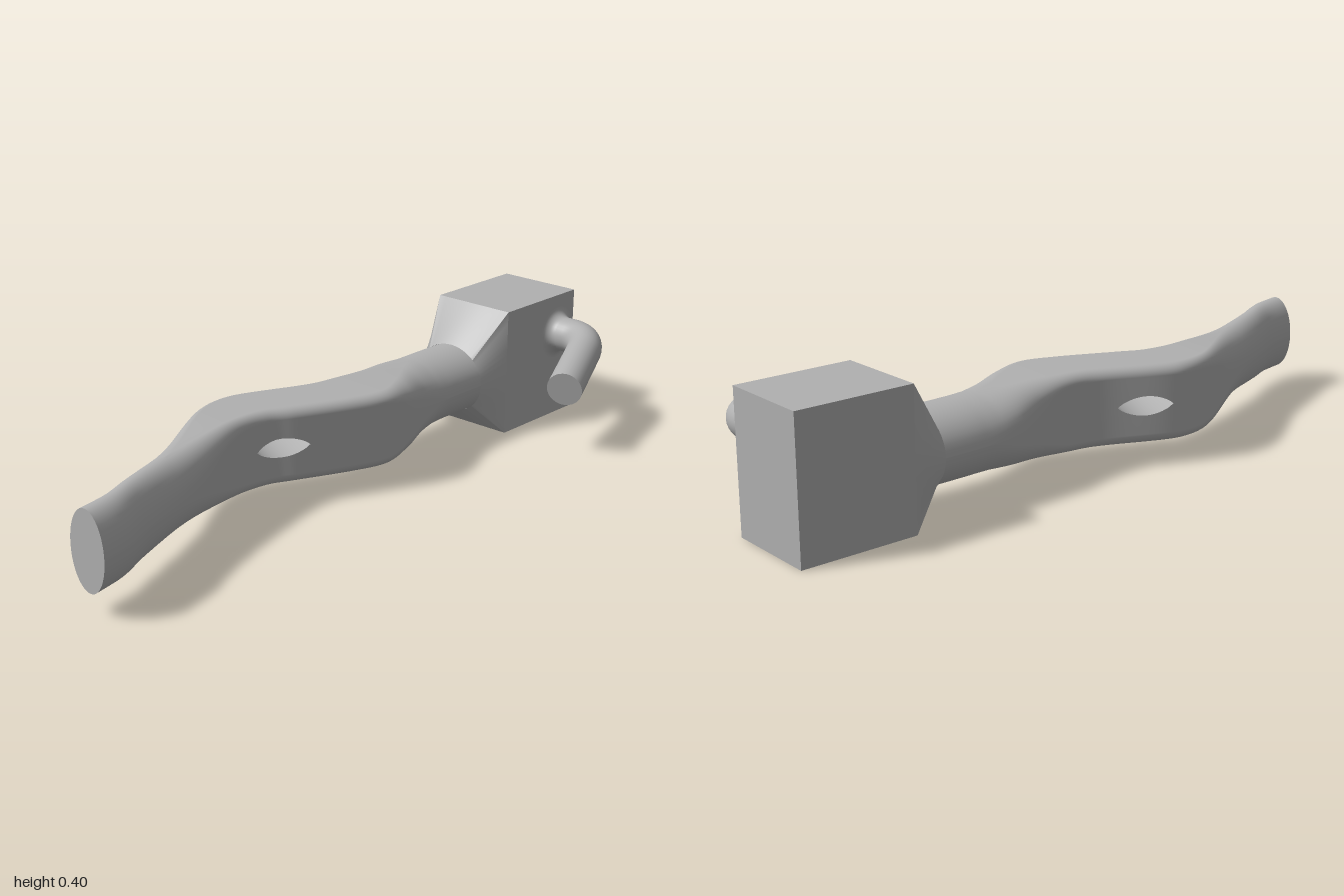
import * as THREE from 'three';
import { mergeVertices } from 'three/addons/utils/BufferGeometryUtils.js';

const grey = new THREE.MeshStandardMaterial({ color: 0xb0b0b0 });
grey.name = 'plain grey';
const greyInside = new THREE.MeshStandardMaterial({ color: 0xb0b0b0, side: THREE.DoubleSide });
greyInside.name = 'plain grey inside';

// Bar stations: x, back z, front z, bottom y, top y, corner roundness (1 = oval)
const stations = [
  [-1, -0.025, 0.105, 0.066, 0.292, 1],
  [-0.9, -0.047, 0.082, 0.067, 0.291, 1],
  [-0.8, -0.09, 0.038, 0.07, 0.288, 1],
  [-0.6, -0.175, -0.03, 0.077, 0.281, 0.85],
  [-0.4, -0.272, -0.1, 0.068, 0.289, 0.4],
  [-0.32, -0.299, -0.115, 0.066, 0.29, 0.28],
  [-0.24, -0.306, -0.104, 0.066, 0.29, 0.26],
  [-0.18, -0.29, -0.075, 0.066, 0.29, 0.26],
  [0, -0.212, 0.006, 0.066, 0.29, 0.26],
  [0.1, -0.197, 0.035, 0.066, 0.29, 0.28],
  [0.2, -0.21, 0.025, 0.069, 0.288, 0.5],
  [0.3, -0.24, 0.0, 0.072, 0.285, 0.75],
  [0.42, -0.252, -0.01, 0.073, 0.284, 1],
  [0.57, -0.255, -0.01, 0.073, 0.283, 1],
];

// Smooth interpolation through the stations
function sample(x, k) {
  const n = stations.length;
  let i = 0;
  while (i < n - 2 && x > stations[i + 1][0]) i++;
  const slope = (j) => {
    const a = stations[Math.max(j - 1, 0)], b = stations[Math.min(j + 1, n - 1)];
    return (b[k] - a[k]) / (b[0] - a[0]);
  };
  const p = stations[i], q = stations[i + 1], w = q[0] - p[0], t = (x - p[0]) / w;
  const t2 = t * t, t3 = t2 * t;
  return (2 * t3 - 3 * t2 + 1) * p[k] + (t3 - 2 * t2 + t) * w * slope(i)
    + (3 * t2 - 2 * t3) * q[k] + (t3 - t2) * w * slope(i + 1);
}

const HOLE_FRONT = -0.29, HOLE_BACK = -0.2, HOLE_LENGTH = 0.15, HOLE_Y = 0.178;
const ARC = 10;

// Half height of the through slot at x
function slot(x, start) {
  const t = (x - start) / HOLE_LENGTH;
  return t <= 0.001 || t >= 0.999 ? 0 : 0.028 * Math.pow(Math.sin(Math.PI * t), 0.75);
}

// Rounded section, from the slot's upper front edge over the top and round to its lower front edge
function section(x) {
  const [z0, z1, y0, y1, k] = [1, 2, 3, 4, 5].map((c) => sample(x, c));
  const cz = (z0 + z1) / 2, cy = (y0 + y1) / 2, hz = (z1 - z0) / 2, hy = (y1 - y0) / 2;
  const r = Math.min(k, 0.995), ry = hy * r, rz = hz * Math.min(1, r * 1.1);
  const pts = [];
  const corner = (sz, sy, a0) => {
    for (let i = 0; i <= ARC; i++) {
      const a = a0 + (i / ARC) * Math.PI / 2;
      pts.push([x, cy + sy * (hy - ry) + ry * Math.sin(a), cz + sz * (hz - rz) + rz * Math.cos(a)]);
    }
  };
  const f = slot(x, HOLE_FRONT), b = slot(x, HOLE_BACK);
  pts.push([x, HOLE_Y + f, z1]);
  corner(1, 1, 0);
  corner(-1, 1, Math.PI / 2);
  pts.push([x, HOLE_Y + b, z0], [x, HOLE_Y - b, z0]);
  corner(-1, -1, Math.PI);
  corner(1, -1, Math.PI * 1.5);
  pts.push([x, HOLE_Y - f, z1]);
  return pts;
}

// Surface through rows of points; skip(j) leaves a strip open
function loft(rows, skip = () => false) {
  const m = rows[0].length, index = [];
  for (let i = 0; i < rows.length - 1; i++) {
    for (let j = 0; j < m - 1; j++) {
      if (skip(j)) continue;
      const a = i * m + j, b = a + m;
      index.push(a, b, a + 1, b, b + 1, a + 1);
    }
  }
  const g = new THREE.BufferGeometry();
  g.setAttribute('position', new THREE.Float32BufferAttribute(rows.flat(2), 3));
  g.setIndex(index);
  const merged = mergeVertices(g, 1e-5);
  merged.computeVertexNormals();
  return merged;
}

export function createModel() {
  const model = new THREE.Group();
  const add = (name, geometry, material = grey) => {
    const mesh = new THREE.Mesh(geometry, material);
    mesh.name = name;
    model.add(mesh);
    return mesh;
  };

  // Wavy bar, open at the slot
  const rows = [];
  for (let i = 0; i <= 157; i++) rows.push(section(-1 + i * 0.01));
  const backStrip = 2 * (ARC + 1) + 1;
  add('bar', loft(rows, (j) => j === backStrip), greyInside);

  // Flat end of the bar
  const end = rows[0];
  const middle = [-1, 0.179, 0.04];
  add('barEnd', loft([end.map(() => middle), end]), greyInside);

  // Walls of the slot, running square to the slanted middle of the bar
  const steps = Math.round(HOLE_LENGTH / 0.01);
  for (const side of [1, -1]) {
    const front = [], back = [];
    for (let i = 0; i <= steps; i++) {
      const xf = HOLE_FRONT + i * 0.01, xb = HOLE_BACK + i * 0.01;
      front.push([xf, HOLE_Y + side * slot(xf, HOLE_FRONT), sample(xf, 2)]);
      back.push([xb, HOLE_Y + side * slot(xb, HOLE_BACK), sample(xb, 1)]);
    }
    add(side > 0 ? 'slotTop' : 'slotBottom', loft([front, back]), greyInside);
  }

  // End block
  const X0 = 0.66, Y1 = 0.396, Z0 = -0.264, Z1 = 0.01;
  add('block', new THREE.BoxGeometry(1 - X0, Y1, Z1 - Z0))
    .position.set((1 + X0) / 2, Y1 / 2, (Z0 + Z1) / 2);

  // Flare from the oval neck to the square block, one panel per quarter and side
  const neck = [], rim = [], N = 64;
  for (let i = 0; i <= N; i++) {
    const a = (i / N) * Math.PI * 2, c = Math.cos(a), s = Math.sin(a);
    const k = 1 / Math.max(Math.abs(c), Math.abs(s));
    neck.push([0.56, 0.178 + 0.106 * s, -0.1325 + 0.1225 * c]);
    rim.push([X0, Y1 / 2 + (Y1 / 2) * k * s, (Z0 + Z1) / 2 + ((Z1 - Z0) / 2) * k * c]);
  }
  for (let q = 0; q < 4; q++) {
    const pick = (ring) => Array.from({ length: N / 4 + 1 }, (_, i) => ring[(q * N / 4 + N / 8 + i) % N]);
    add('flare', loft([pick(neck), pick(rim)]), greyInside);
  }

  // Bent rod on the front of the block
  const v = (x, y, z) => new THREE.Vector3(x, y, z);
  const base = v(0.917, 0.272, 0), bendStart = v(0.917, 0.272, 0.065);
  const bend = v(0.917, 0.272, 0.135), bendEnd = v(0.842, 0.2565, 0.166), tip = v(0.63, 0.213, 0.253);
  const path = new THREE.CurvePath();
  path.add(new THREE.LineCurve3(base, bendStart));
  path.add(new THREE.QuadraticBezierCurve3(bendStart, bend, bendEnd));
  path.add(new THREE.LineCurve3(bendEnd, tip));
  const R = 0.054;
  add('rod', new THREE.TubeGeometry(path, 60, R, 32));
  const cap = add('rodEnd', new THREE.CircleGeometry(R, 32));
  cap.position.copy(tip);
  cap.quaternion.setFromUnitVectors(v(0, 0, 1), tip.clone().sub(bendEnd).normalize());

  // Fillet where the rod meets the block
  const profile = [];
  for (let i = 0; i <= 8; i++) {
    const a = (i / 8) * Math.PI / 2;
    profile.push(new THREE.Vector2(R + 0.029 * (1 - Math.sin(a)), 0.03 * (1 - Math.cos(a))));
  }
  const fillet = add('rodFillet', new THREE.LatheGeometry(profile, 40), greyInside);
  fillet.rotation.x = Math.PI / 2;
  fillet.position.set(base.x, base.y, Z1);

  return model;
}
